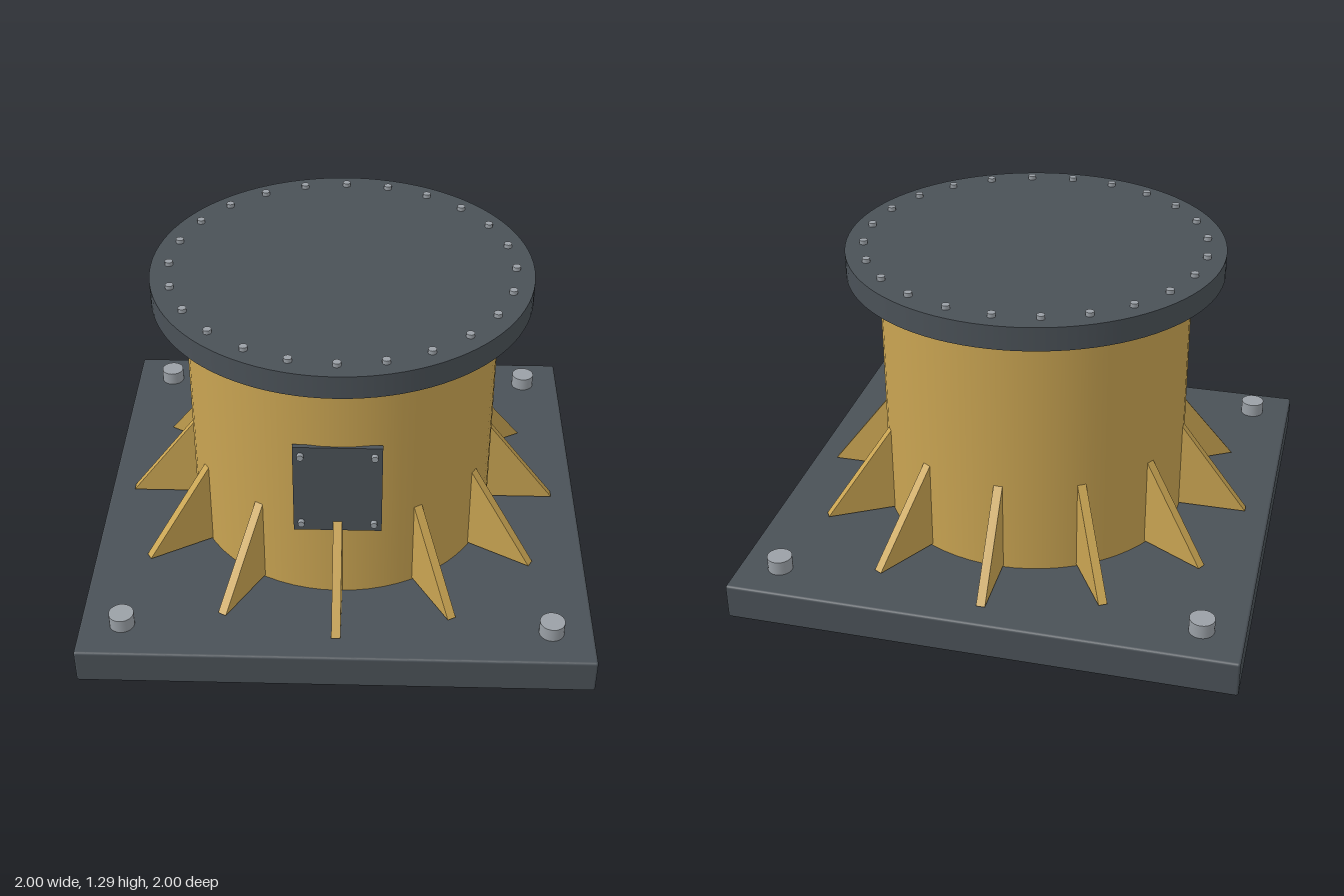
import * as THREE from 'three';
import { RoundedBoxGeometry } from 'three/addons/geometries/RoundedBoxGeometry.js';

const yellow = new THREE.MeshStandardMaterial({ color: 0xc9a452 });
const dark = new THREE.MeshStandardMaterial({ color: 0x4a5157 });
const steel = new THREE.MeshStandardMaterial({ color: 0x9aa0a6 });

export function createModel() {
  const model = new THREE.Group();

  const add = (name, geometry, material, x = 0, y = 0, z = 0) => {
    const mesh = new THREE.Mesh(geometry, material);
    mesh.name = name;
    mesh.position.set(x, y, z);
    model.add(mesh);
    return mesh;
  };
  // Upright cylinder between two heights
  const disc = (name, radius, y0, y1, material, x = 0, z = 0, sides = 24) =>
    add(name, new THREE.CylinderGeometry(radius, radius, y1 - y0, sides), material, x, (y0 + y1) / 2, z);

  // Base plate with softened edges, and its corner anchors
  add('basePlate', new RoundedBoxGeometry(2, 0.147, 2, 2, 0.01), dark, 0, 0.0735, 0);
  for (const x of [-0.835, 0.835])
    for (const z of [-0.835, 0.835]) disc('anchorBolt', 0.049, 0.14, 0.205, steel, x, z);

  // Drum and top flange
  disc('drum', 0.622, 0.147, 1.19, yellow, 0, 0, 64);
  disc('topFlange', 0.75, 1.183, 1.277, dark, 0, 0, 96);

  // Ring of flange bolts
  for (let i = 0; i < 24; i++) {
    const a = (i / 24) * Math.PI * 2;
    disc('flangeBolt', 0.016, 1.26, 1.293, steel, 0.678 * Math.cos(a), 0.678 * Math.sin(a), 12);
  }

  // Triangular gussets around the foot of the drum
  const profile = new THREE.Shape([
    new THREE.Vector2(0.605, 0.155),
    new THREE.Vector2(0.9, 0.155),
    new THREE.Vector2(0.605, 0.545),
  ]);
  const gusset = new THREE.ExtrudeGeometry(profile, { depth: 0.035, bevelEnabled: false });
  gusset.translate(0, 0, -0.0175);
  for (let i = 0; i < 12; i++) add('gusset', gusset, yellow).rotation.y = (i / 12) * Math.PI * 2;

  // Access cover on the front with its four screws
  add('accessCover', new THREE.BoxGeometry(0.34, 0.4, 0.02), dark, 0, 0.67, 0.619);
  for (const x of [-0.14, 0.14])
    for (const y of [0.51, 0.832])
      add('coverScrew', new THREE.CylinderGeometry(0.013, 0.013, 0.025, 12), steel, x, y, 0.635).rotation.x = Math.PI / 2;

  return model;
}
